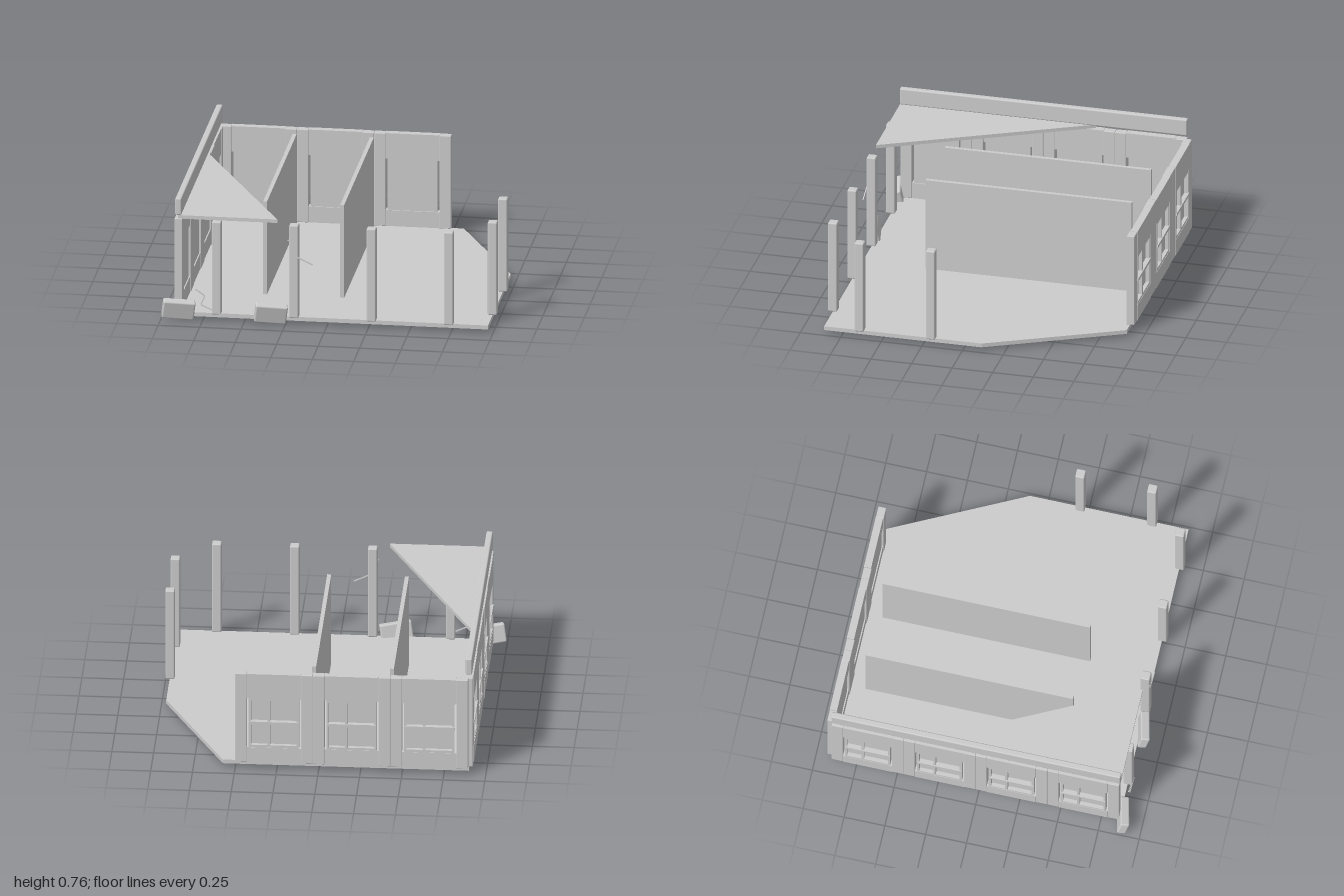
import * as THREE from 'three';
import { RoundedBoxGeometry } from 'three/addons/geometries/RoundedBoxGeometry.js';

export function createModel() {
  const model = new THREE.Group();
  model.name = 'ruinedBuilding';
  const stone = new THREE.MeshStandardMaterial({ color: 0xcccccc });
  stone.name = 'grey stone';

  const BASE = 0.055, TOP = 0.64, H = TOP - BASE, MID = (TOP + BASE) / 2;

  const add = (parent, name, geometry, x, y, z) => {
    const mesh = new THREE.Mesh(geometry, stone);
    mesh.name = name;
    mesh.position.set(x, y, z);
    parent.add(mesh);
    return mesh;
  };
  const box = (parent, name, w, h, d, x, y, z) =>
    add(parent, name, new THREE.BoxGeometry(w, h, d), x, y, z);
  const soft = (parent, name, w, h, d, x, y, z, r = 0.008) =>
    add(parent, name, new RoundedBoxGeometry(w, h, d, 2, r), x, y, z);

  // Flat slab from an outline of [x, z] points
  const slab = (name, points, top, thickness) => {
    const shape = new THREE.Shape(points.map(([x, z]) => new THREE.Vector2(x, z)));
    const geometry = new THREE.ExtrudeGeometry(shape, { depth: thickness, bevelEnabled: false });
    geometry.rotateX(Math.PI / 2);
    add(model, name, geometry, 0, top, 0);
  };

  // One window bay along x, its outside facing -z
  const bay = (parent, cx, width) => {
    const group = new THREE.Group();
    group.name = 'windowBay';
    group.position.x = cx;
    parent.add(group);
    const pier = 0.07, open = width - 2 * pier, low = 0.155, high = 0.48;
    for (const s of [-1, 1]) {
      soft(group, 'pilaster', pier, H, 0.048, s * (width - pier) / 2, MID, 0, 0.004);
    }
    box(group, 'lintel', open, TOP - high, 0.044, 0, (TOP + high) / 2, -0.003);
    box(group, 'sillWall', open, low - BASE, 0.044, 0, (low + BASE) / 2, -0.003);
    // recessed pane, with a narrow gap at each side
    box(group, 'windowPane', open - 0.024, high - low, 0.012, 0, (high + low) / 2, 0.006);
    for (const s of [-1, 1]) {
      box(group, 'windowStile', 0.014, high - low, 0.026, s * (open / 2 - 0.019), (high + low) / 2, -0.01);
    }
    for (const y of [low + 0.008, high - 0.008]) {
      box(group, 'windowRail', open - 0.024, 0.016, 0.026, 0, y, -0.01);
    }
    box(group, 'windowMullion', 0.015, high - low, 0.026, 0.03, (high + low) / 2, -0.01);
    box(group, 'windowCrossbar', open - 0.024, 0.018, 0.034, 0, 0.318, -0.012);
  };

  // Floor with a broken corner
  slab('floor', [[-0.9, 0.86], [0.97, 0.86], [0.97, -0.11], [0.575, -0.905], [-0.9, -0.905]], BASE, 0.025);

  // Back wall, three bays
  const backWall = new THREE.Group();
  backWall.name = 'backWall';
  backWall.position.z = -0.908;
  model.add(backWall);
  for (let i = 0; i < 3; i++) bay(backWall, -0.6625 + i * 0.465, 0.465);

  // Side wall, four bays
  const sideWall = new THREE.Group();
  sideWall.name = 'sideWall';
  sideWall.position.x = -0.898;
  sideWall.rotation.y = Math.PI / 2;
  model.add(sideWall);
  for (let i = 0; i < 4; i++) bay(sideWall, 0.68 - i * 0.44, 0.44);

  // Inner partitions
  for (const x of [-0.43, 0.035]) box(model, 'partition', 0.024, H, 1.27, x, MID, -0.165);

  // Free-standing posts along the two open sides
  for (let i = 0; i < 4; i++) soft(model, 'frontPost', 0.056, H, 0.056, -0.665 + i * 0.4667, MID, 0.862);
  for (const z of [0.2, 0.64]) soft(model, 'sidePost', 0.056, H, 0.056, 0.968, MID, z);

  // Roof remnant and parapet
  slab('roofFragment', [[-0.9, 0.865], [-0.3, 0.865], [-0.9, -0.34]], 0.665, 0.022);
  soft(model, 'parapet', 0.038, 0.105, 1.77, -0.898, 0.717, -0.019);

  // Fallen blocks
  for (const x of [-0.895, -0.338]) {
    const block = soft(model, 'fallenBlock', 0.193, 0.115, 0.055, x, 0.078, 0.878, 0.01);
    block.rotation.set(0.22, 0.2, -0.15);
  }

  // Zigzag cracks
  const crack = [[-0.79, 0.21], [-0.735, 0.172], [-0.757, 0.115], [-0.64, 0.06]];
  for (const [dx, dy] of [[0, 0], [0.557, 0.337]]) {
    for (let i = 0; i < 3; i++) {
      const [x0, y0] = crack[i], [x1, y1] = crack[i + 1];
      const piece = box(model, 'crack', Math.hypot(x1 - x0, y1 - y0), 0.007, 0.006,
        (x0 + x1) / 2 + dx, (y0 + y1) / 2 + dy, 0.889);
      piece.rotation.z = Math.atan2(y1 - y0, x1 - x0);
    }
  }

  return model;
}
